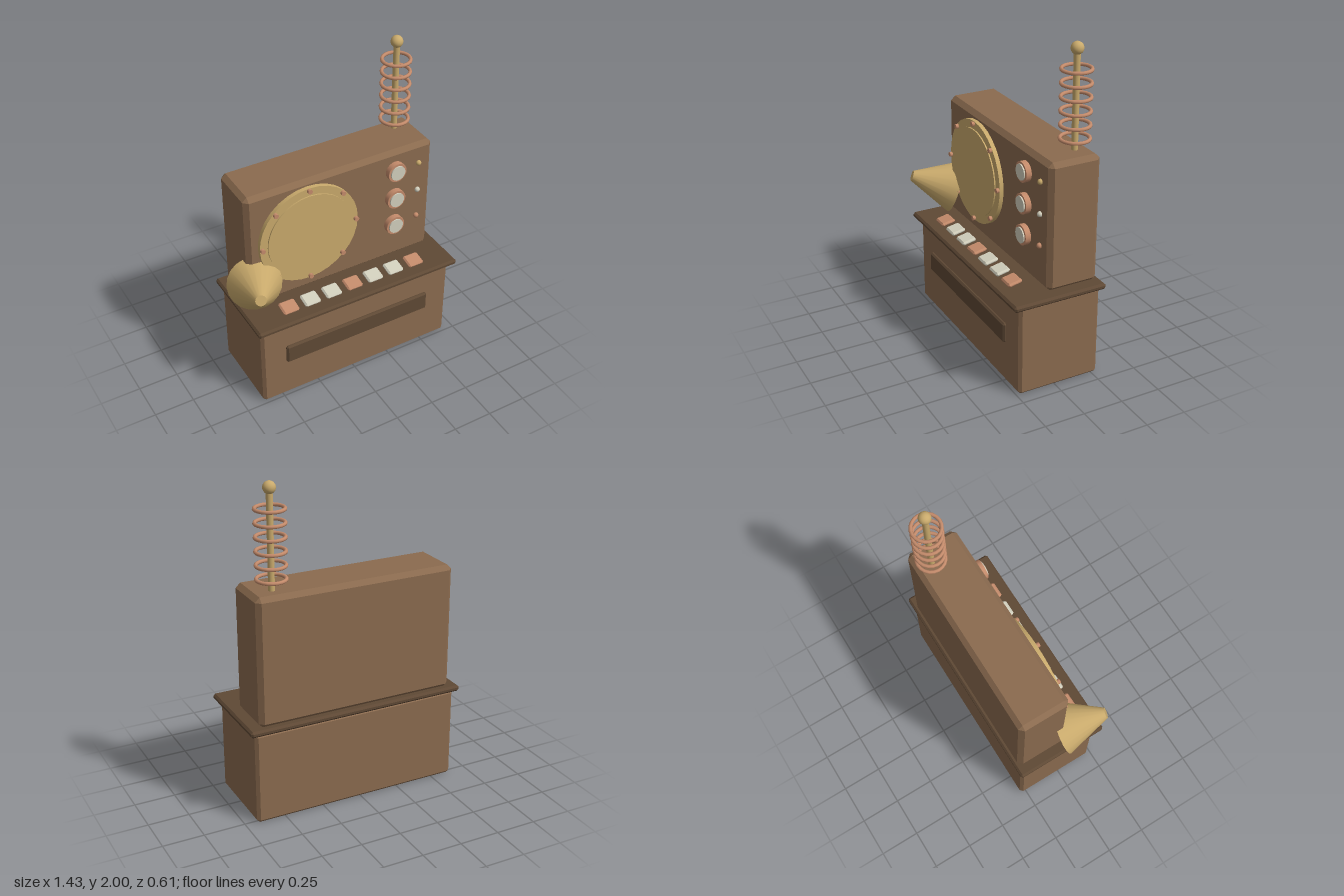
import * as THREE from 'three';
import { ConvexGeometry } from 'three/addons/geometries/ConvexGeometry.js';

const material = (name, color, flat = false) => {
  const m = new THREE.MeshStandardMaterial({ color, flatShading: flat });
  m.name = name;
  return m;
};

// Box with every edge chamfered by c
function chamferBox(w, h, d, c) {
  const pts = [];
  for (const sx of [-1, 1]) for (const sy of [-1, 1]) for (const sz of [-1, 1]) {
    const x = w / 2, y = h / 2, z = d / 2;
    pts.push(new THREE.Vector3(sx * x, sy * (y - c), sz * (z - c)));
    pts.push(new THREE.Vector3(sx * (x - c), sy * y, sz * (z - c)));
    pts.push(new THREE.Vector3(sx * (x - c), sy * (y - c), sz * z));
  }
  return new ConvexGeometry(pts);
}

export function createModel() {
  const model = new THREE.Group();
  model.name = 'radioConsole';
  const wood = material('wood', 0x8b6b4f);
  const darkWood = material('darkWood', 0x5f4935);
  const brass = material('brass', 0xc9aa6c);
  const copper = material('copper', 0xc48b6b);
  const ivory = material('ivory', 0xd2cfbd);

  const add = (name, geometry, mat, x, y, z) => {
    const mesh = new THREE.Mesh(geometry, mat);
    mesh.name = name;
    mesh.position.set(x, y, z);
    model.add(mesh);
    return mesh;
  };
  // Chamfered box given by its limits on each axis
  const block = (name, mat, [x0, x1], [y0, y1], [z0, z1], c) =>
    add(name, chamferBox(x1 - x0, y1 - y0, z1 - z0, c), mat,
      (x0 + x1) / 2, (y0 + y1) / 2, (z0 + z1) / 2);
  // Disc facing the front, between two depths
  const disc = (name, mat, x, y, r, z0, z1, sides) =>
    add(name, new THREE.CylinderGeometry(r, r, z1 - z0, sides).rotateX(Math.PI / 2),
      mat, x, y, (z0 + z1) / 2);

  // Cabinet
  block('base', wood, [-0.632, 0.68], [0, 0.572], [-0.285, 0.238], 0.018);
  block('ledge', darkWood, [-0.664, 0.712], [0.568, 0.606], [-0.307, 0.284], 0.012);
  block('upperCabinet', wood, [-0.6, 0.648], [0.6, 1.383], [-0.285, 0.04], 0.028);
  block('frontSlot', darkWood, [-0.473, 0.521], [0.267, 0.394], [0.225, 0.256], 0.01);

  // Large round dial with rivets
  const dx = -0.207, dy = 1.021;
  disc('dialRim', brass, dx, dy, 0.325, 0.03, 0.066, 32);
  disc('dialFace', brass, dx, dy, 0.275, 0.06, 0.074, 32);
  for (let i = 0; i < 8; i++) {
    const a = i * Math.PI / 4;
    disc('dialRivet', copper, dx + 0.31 * Math.cos(a), dy + 0.31 * Math.sin(a),
      0.015, 0.06, 0.084, 10);
  }

  // Lamps, each with a small indicator beside it
  [[1.25, brass], [1.055, ivory], [0.86, copper]].forEach(([y, mat]) => {
    disc('lampBezel', copper, 0.385, y, 0.062, 0.03, 0.074, 20);
    disc('lampLens', ivory, 0.385, y, 0.048, 0.06, 0.082, 20);
    add('indicator', new THREE.SphereGeometry(0.017, 10, 8), mat, 0.55, y, 0.045);
  });

  // Row of tilted keys
  const keyGeometry = chamferBox(0.104, 0.024, 0.09, 0.009);
  for (let i = 0; i < 7; i++) {
    const key = add('key', keyGeometry, i % 3 === 0 ? copper : ivory,
      0.023 + (i - 3) * 0.145, 0.628, 0.17);
    key.rotation.x = 0.2;
  }

  // Horn, narrow end pointing forward and up
  const wide = new THREE.Vector3(-0.563, 0.775, 0.037);
  const tip = new THREE.Vector3(-0.645, 0.868, 0.288);
  const axis = tip.clone().sub(wide);
  const middle = wide.clone().add(tip).multiplyScalar(0.5);
  const horn = add('horn', new THREE.CylinderGeometry(0.033, 0.165, axis.length(), 20),
    brass, middle.x, middle.y, middle.z);
  horn.quaternion.setFromUnitVectors(new THREE.Vector3(0, 1, 0), axis.normalize());

  // Aerial with rings and a ball on top
  const ax = 0.517, az = -0.187;
  add('aerialRod', new THREE.CylinderGeometry(0.019, 0.019, 0.59, 12), brass, ax, 1.66, az);
  add('aerialBall', new THREE.SphereGeometry(0.037, 16, 12), brass, ax, 1.963, az);
  const ring = new THREE.TorusGeometry(0.084, 0.011, 8, 20).rotateX(Math.PI / 2);
  for (let i = 0; i < 6; i++) add('aerialRing', ring, copper, ax, 1.45 + i * 0.0795, az);

  return model;
}
